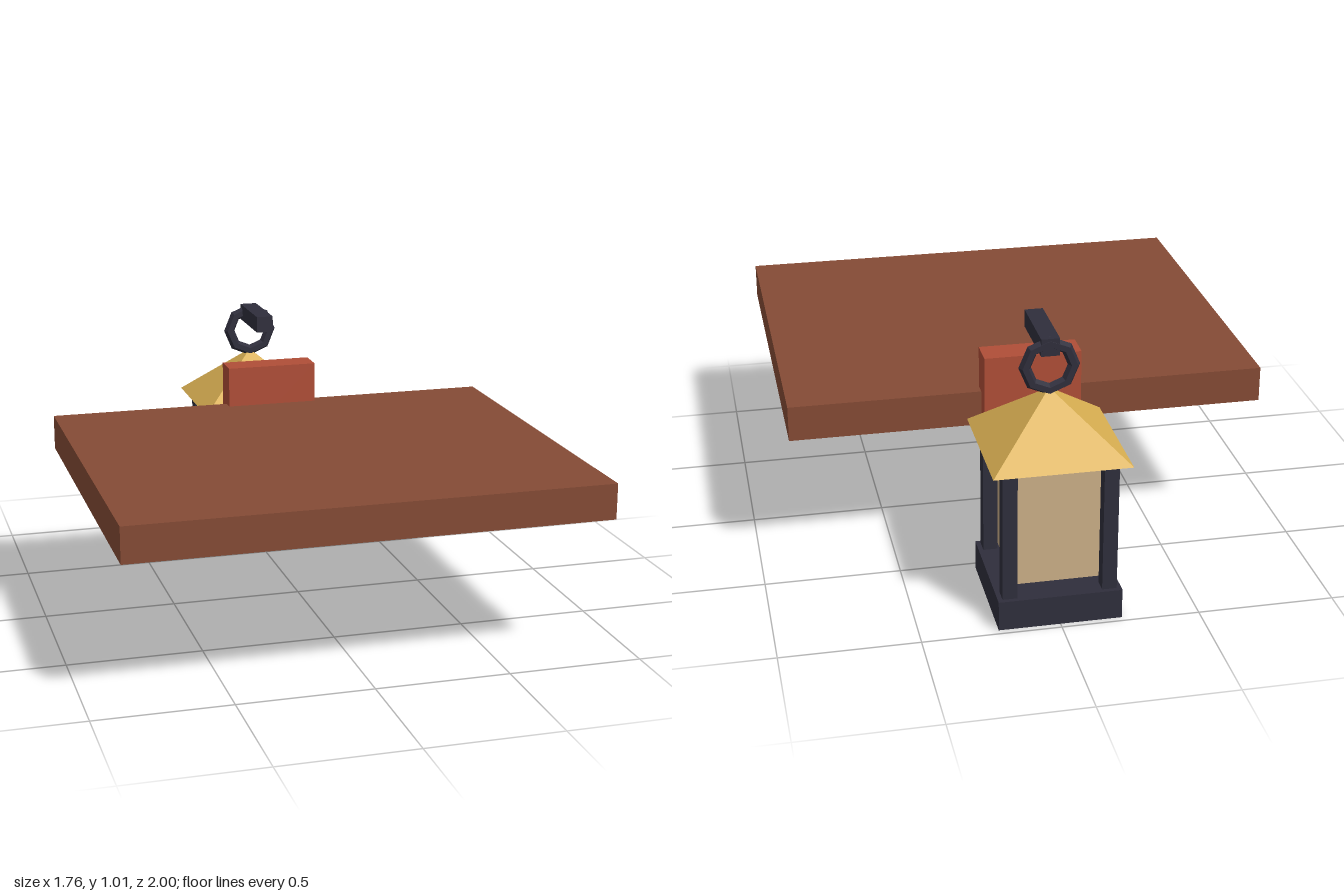
import * as THREE from 'three';

const flat = (name, color) => {
  const m = new THREE.MeshStandardMaterial({ color });
  m.name = name;
  return m;
};

export function createModel() {
  const wood = flat('brown wood', 0x854b35);
  const red = flat('red wood', 0xb04e37);
  const iron = flat('dark iron', 0x2f2e3c);
  const brass = flat('brass', 0xdab052);
  const paper = flat('warm glass', 0xccb088);

  const group = new THREE.Group();
  group.name = 'lanternBoard';

  const add = (parent, name, geometry, material, x, y, z) => {
    const mesh = new THREE.Mesh(geometry, material);
    mesh.name = name;
    mesh.position.set(x, y, z);
    parent.add(mesh);
    return mesh;
  };
  // Box given by its lower and upper limits in y and z, centred on x
  const block = (parent, name, material, width, y0, y1, z0, z1) =>
    add(parent, name, new THREE.BoxGeometry(width, y1 - y0, z1 - z0), material,
      0, (y0 + y1) / 2, (z0 + z1) / 2);

  // Board and the mounting plate at its back edge
  block(group, 'board', wood, 1.76, 0.54, 0.672, -0.432, 1);
  block(group, 'mountingPlate', red, 0.356, 0.472, 0.828, -0.495, -0.386);

  // Lantern, built around its own vertical axis
  const lantern = new THREE.Group();
  lantern.name = 'lantern';
  lantern.position.z = -0.755;
  group.add(lantern);

  block(lantern, 'base', iron, 0.445, 0, 0.112, -0.2225, 0.2225);
  block(lantern, 'glass', paper, 0.306, 0.138, 0.585, -0.153, 0.153);

  // Corner posts
  const post = new THREE.BoxGeometry(0.053, 0.5, 0.053);
  for (const x of [-1, 1]) {
    for (const z of [-1, 1]) add(lantern, 'cornerPost', post, iron, x * 0.179, 0.36, z * 0.179);
  }

  // Pyramid roof with a closed underside
  const roof = new THREE.ConeGeometry(0.245 * Math.SQRT2, 0.213, 4).toNonIndexed();
  roof.rotateY(Math.PI / 4);
  roof.computeVertexNormals();
  add(lantern, 'roof', roof, brass, 0, 0.7115, 0);

  // Eight-sided hanging ring
  const ring = new THREE.TorusGeometry(0.087, 0.022, 6, 8).toNonIndexed();
  ring.computeVertexNormals();
  add(lantern, 'hangingRing', ring, iron, 0, 0.9, 0);

  // Arm reaching forward from the ring
  block(group, 'hangerArm', iron, 0.066, 0.943, 1.007, -0.773, -0.497);

  return group;
}
